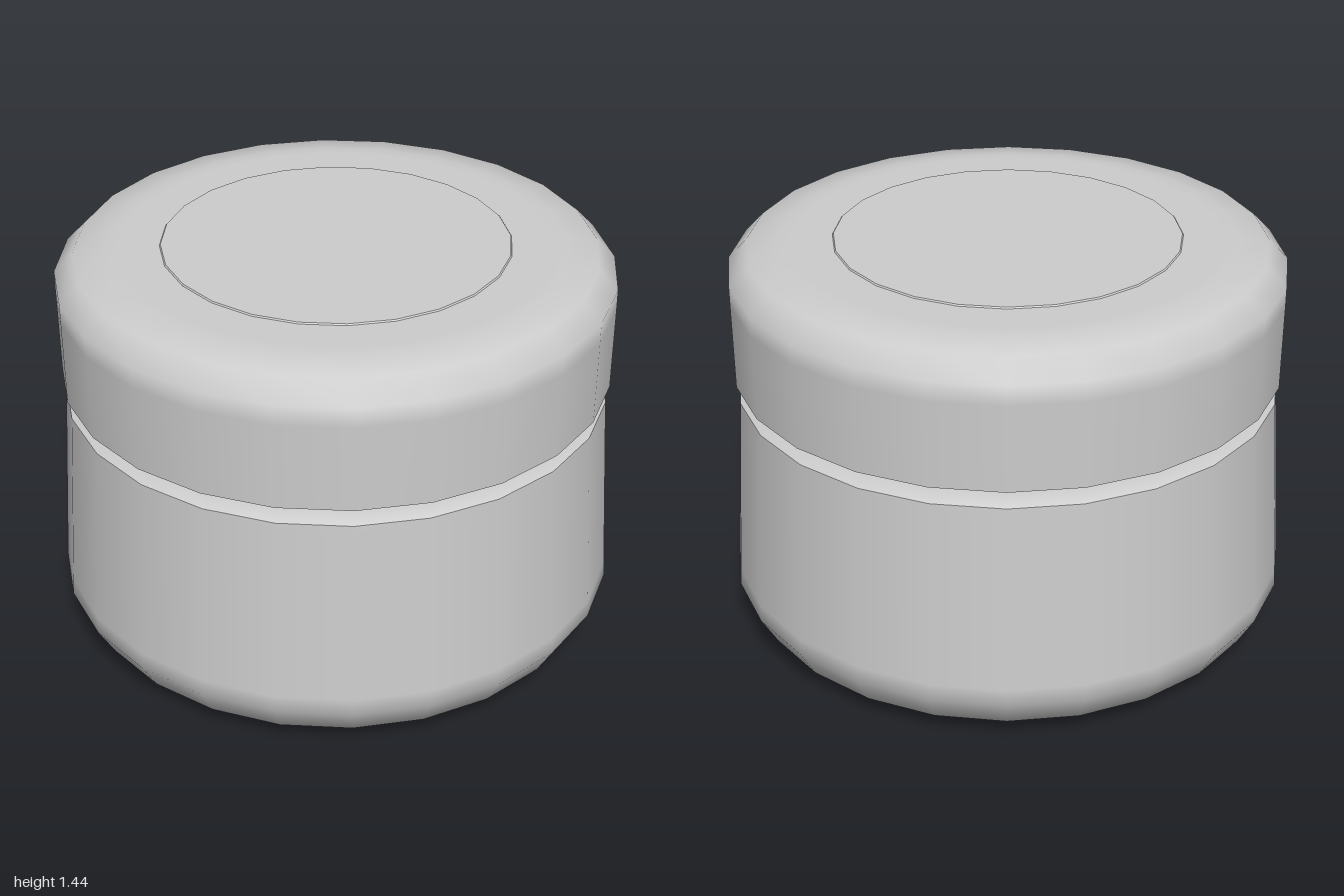
import * as THREE from 'three';

const SIDES = 24;

export function createModel() {
  const jar = new THREE.Group();
  jar.name = 'lidded jar';
  const grey = new THREE.MeshStandardMaterial({ color: 0xcccccc });
  grey.name = 'pale grey';

  // Profiles run from bottom to top as [radius, height]
  function turned(name, profile) {
    const points = profile.map(([r, y]) => new THREE.Vector2(r, y));
    const mesh = new THREE.Mesh(new THREE.LatheGeometry(points, SIDES), grey);
    mesh.name = name;
    jar.add(mesh);
  }

  // Tapered body with a rounded foot; close rings keep the flats flat
  turned('body', [
    [0, 0], [0.76, 0], [0.79, 0.002], [0.94, 0.075], [1, 0.18],
    [0.996, 0.24], [0.957, 0.88], [0.955, 0.91],
  ]);
  turned('bodyShoulder', [[0.955, 0.91], [0.89, 0.945], [0, 0.945]]);

  // Lid: shallow underside, upright wall and softened top edge
  turned('lidUnderside', [[0, 0.935], [0.88, 0.94], [0.965, 0.975]]);
  turned('lid', [
    [0.965, 0.975], [0.967, 1.28], [0.967, 1.35], [0.9, 1.42],
    [0.79, 1.436], [0.74, 1.438], [0, 1.438],
  ]);

  // Barely raised round panel on the lid
  turned('lidPanel', [[0.605, 1.436], [0.6, 1.443]]);
  turned('lidPanelTop', [[0.6, 1.443], [0, 1.443]]);

  return jar;
}
